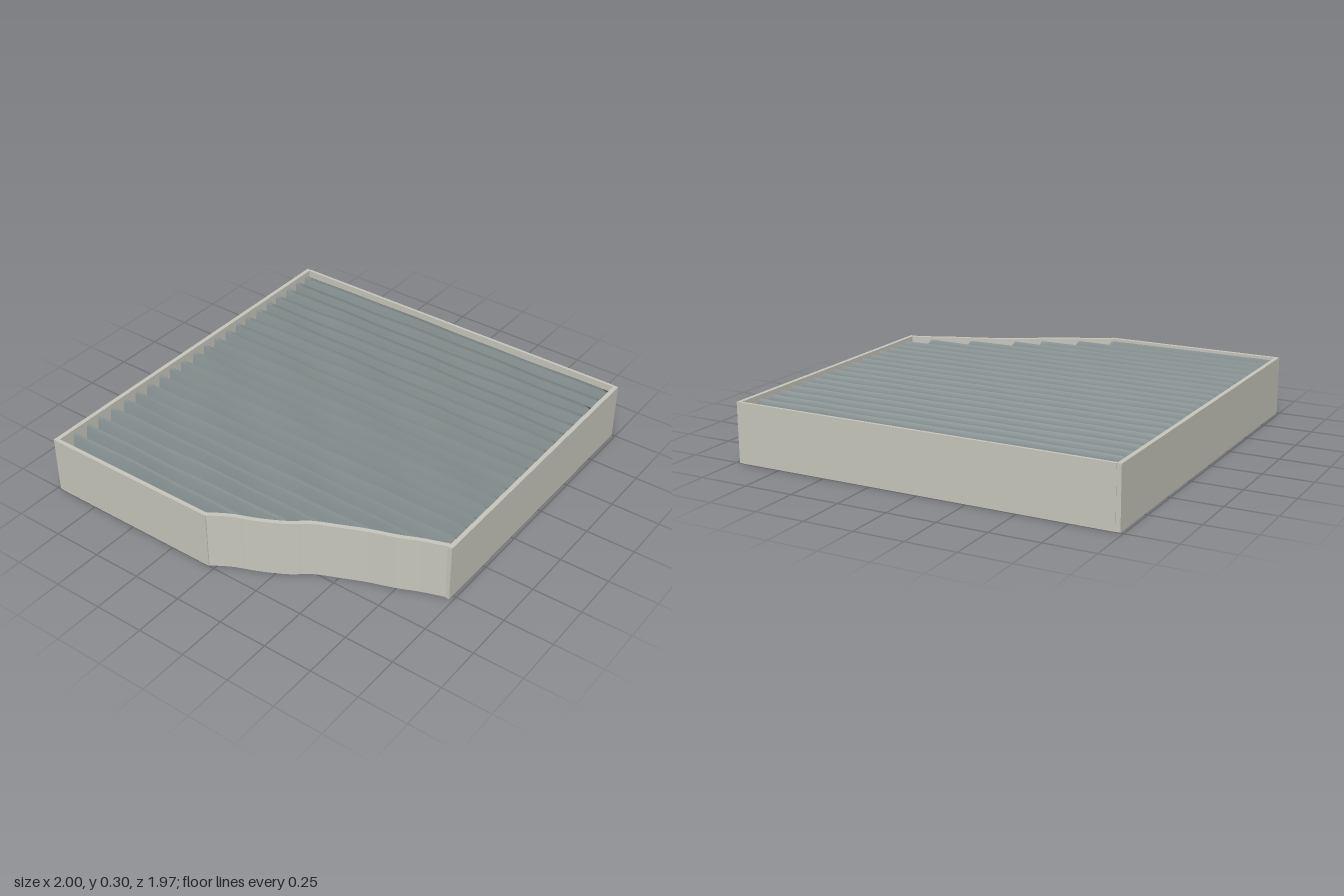
import * as THREE from 'three';

const HEIGHT = 0.3;
// Outer line of the wavy cut corner, [x, z] from the side wall to the front wall
const CUT = [[-0.995, -0.03], [-0.94, 0.06], [-0.89, 0.18], [-0.82, 0.31], [-0.765, 0.38],
  [-0.70, 0.52], [-0.66, 0.61], [-0.61, 0.75], [-0.57, 0.84], [-0.525, 0.965]];
const WALL = 0.022;

// z where the pleats end for a given x
function frontEdge(x) {
  const inner = CUT.map(([px, pz]) => [px + 0.02, pz - 0.01]);
  if (x <= inner[0][0]) return inner[0][1];
  for (let i = 1; i < inner.length; i++) {
    const [x0, z0] = inner[i - 1], [x1, z1] = inner[i];
    if (x <= x1) return z0 + (z1 - z0) * (x - x0) / (x1 - x0);
  }
  return 0.965;
}

// Upright panel with a plan outline of [x, z] points
function panel(name, outline, material) {
  const shape = new THREE.Shape(outline.map(([x, z]) => new THREE.Vector2(x, -z)));
  const geometry = new THREE.ExtrudeGeometry(shape, { depth: HEIGHT, bevelEnabled: false });
  geometry.rotateX(-Math.PI / 2);
  const mesh = new THREE.Mesh(geometry, material);
  mesh.name = name;
  return mesh;
}

const rect = (x0, x1, z0, z1) => [[x0, z0], [x0, z1], [x1, z1], [x1, z0]];

// Folded sheet: rounded zigzag across x, drawn along z with a slight wander
function pleatedSheet() {
  const pitch = 0.0875, perPleat = 16, rows = 40;
  const x0 = -0.978, x1 = 0.986;
  const cols = Math.round((x1 - x0) / pitch * perPleat);
  const positions = [], index = [];
  for (let i = 0; i <= cols; i++) {
    const x = x0 + (x1 - x0) * i / cols;
    const phase = (x + 0.01) / pitch * Math.PI * 2;
    const fold = Math.asin(0.96 * Math.cos(phase)) / Math.asin(0.96);
    const pleat = Math.floor(phase / Math.PI);
    const edgeFade = Math.min(1, (x - x0) / 0.05, (x1 - x) / 0.05);
    for (let j = 0; j <= rows; j++) {
      const z = -0.968 + (frontEdge(x) + 0.968) * j / rows;
      const wander = 0.004 * Math.sin(z * 5 + x * 23) + 0.002 * Math.sin(z * 13 + x * 11);
      positions.push(x + wander * edgeFade, 0.15 + 0.137 * fold, z);
      if (i < cols && j < rows) {
        const a = i * (rows + 1) + j, b = a + rows + 1;
        index.push(a, a + 1, b, b, a + 1, b + 1);
      }
    }
  }
  const geometry = new THREE.BufferGeometry();
  geometry.setAttribute('position', new THREE.Float32BufferAttribute(positions, 3));
  geometry.setIndex(index);
  geometry.computeVertexNormals();
  return geometry;
}

export function createModel() {
  const group = new THREE.Group();
  group.name = 'pleatedFilter';
  const card = new THREE.MeshStandardMaterial({ color: 0xc6c6bc });
  const media = new THREE.MeshStandardMaterial({ color: 0x8c9696, side: THREE.DoubleSide });

  // Card frame
  group.add(panel('backWall', rect(-0.998, 0.998, -0.985, -0.963), card));
  group.add(panel('frontWall', rect(-0.53, 0.998, 0.96, 0.982), card));
  group.add(panel('leftWall', rect(0.985, 1, -0.963, 0.96), card));
  group.add(panel('rightWall', rect(-1, -0.978, -0.963, -0.03), card));

  // Wavy wall closing the cut corner
  const curve = new THREE.CatmullRomCurve3(CUT.map(([x, z]) => new THREE.Vector3(x, 0, z)));
  const outer = [], inner = [];
  for (let i = 0; i <= 40; i++) {
    const p = curve.getPoint(i / 40), t = curve.getTangent(i / 40);
    outer.push([p.x, p.z]);
    inner.unshift([p.x + t.z * WALL, p.z - t.x * WALL]);
  }
  group.add(panel('cutCornerWall', [...outer, ...inner], card));

  // Filter medium
  const pleats = new THREE.Mesh(pleatedSheet(), media);
  pleats.name = 'pleats';
  group.add(pleats);
  return group;
}
